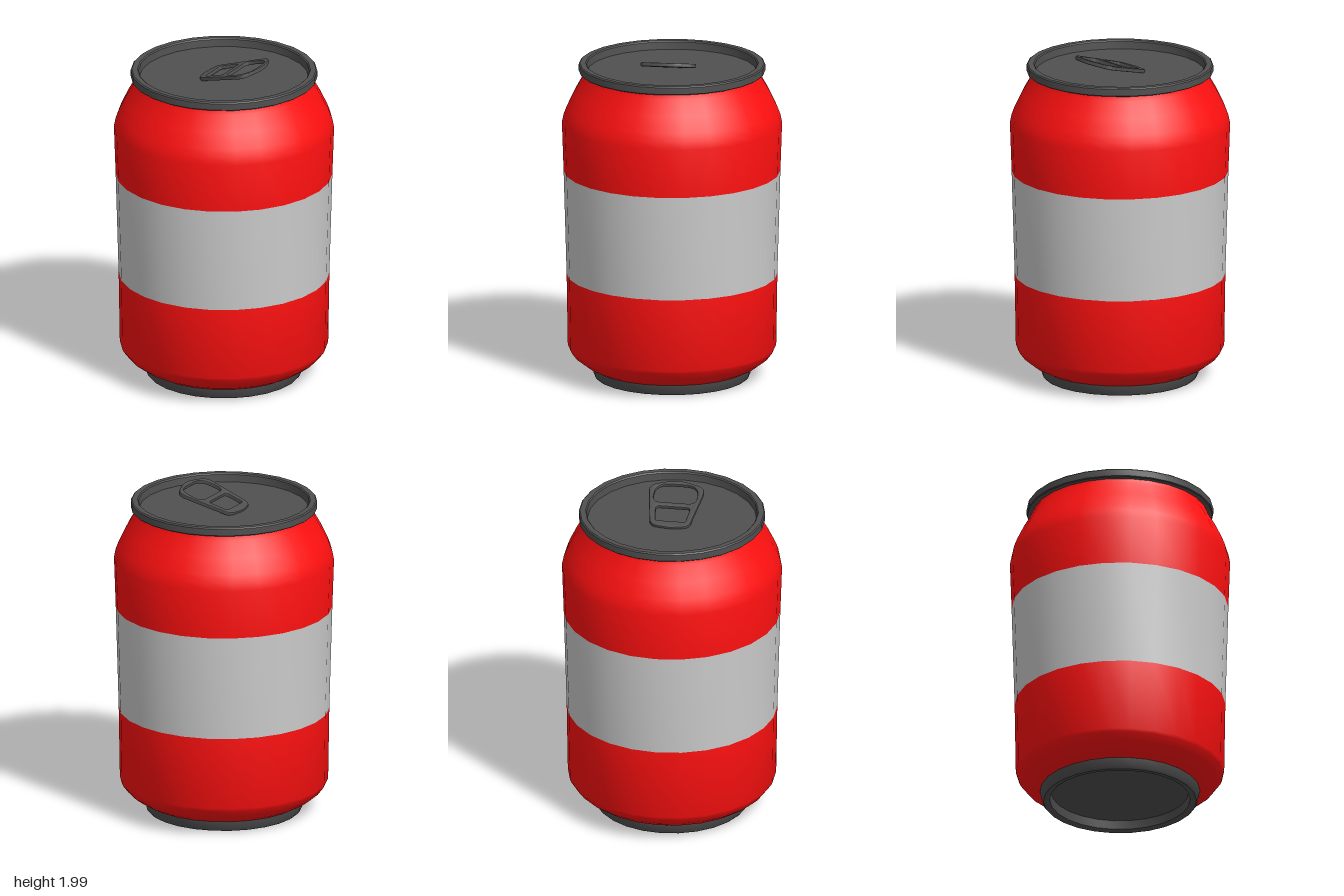
import * as THREE from 'three';
import { toCreasedNormals } from 'three/addons/utils/BufferGeometryUtils.js';

const SIDES = 26;
const red = new THREE.MeshStandardMaterial({ color: 0xff1010 });
const grey = new THREE.MeshStandardMaterial({ color: 0xcccccc });
const dark = new THREE.MeshStandardMaterial({ color: 0x505050 });

// Turned part from [radius, height] pairs, listed bottom to top along the outside
function turned(name, profile, material) {
  const points = profile.map(([r, y]) => new THREE.Vector2(r, y));
  const geometry = new THREE.LatheGeometry(points, SIDES, Math.PI / 2);
  const mesh = new THREE.Mesh(toCreasedNormals(geometry, 0.6), material);
  mesh.name = name;
  return mesh;
}

// Closed outline with rounded corners; each corner is [x, y, rounding]
function rounded(path, corners) {
  const n = corners.length;
  corners.forEach(([x, y, r], i) => {
    const c = new THREE.Vector2(x, y);
    const toward = (k) => {
      const [px, py] = corners[(k + n) % n];
      return new THREE.Vector2(px, py).sub(c).setLength(r).add(c);
    };
    const a = toward(i - 1), b = toward(i + 1);
    if (i === 0) path.moveTo(a.x, a.y);
    else path.lineTo(a.x, a.y);
    path.quadraticCurveTo(x, y, b.x, b.y);
  });
  path.closePath();
  return path;
}

function pullTab() {
  const shape = rounded(new THREE.Shape(), [
    [-0.135, 0, 0.03], [-0.115, -0.118, 0.045], [0.228, -0.173, 0.055],
    [0.288, 0, 0.08], [0.228, 0.173, 0.055], [-0.115, 0.118, 0.045],
  ]);
  // Small rivet window and large finger hole
  shape.holes.push(
    rounded(new THREE.Path(), [
      [-0.075, -0.09, 0.015], [-0.075, 0.09, 0.015], [0.048, 0.104, 0.025], [0.048, -0.104, 0.025],
    ]),
    rounded(new THREE.Path(), [
      [0.085, -0.13, 0.05], [0.085, 0.13, 0.05], [0.243, 0.13, 0.085], [0.243, -0.13, 0.085],
    ]),
  );
  const geometry = new THREE.ExtrudeGeometry(shape, {
    depth: 0.012, bevelEnabled: true, bevelThickness: 0.006, bevelSize: 0.008,
    bevelOffset: -0.008, bevelSegments: 2, curveSegments: 6,
  });
  geometry.translate(0, 0, -0.006).rotateX(-Math.PI / 2);
  const tab = new THREE.Mesh(toCreasedNormals(geometry, 0.6), dark);
  tab.name = 'pullTab';
  tab.rotation.z = 0.272;
  tab.position.y = 1.909;
  return tab;
}

export function createModel() {
  const can = new THREE.Group();
  can.name = 'drinkCan';
  can.add(
    // Recessed bottom disc and foot ring
    turned('base', [
      [0, 0.06], [0.41, 0.06], [0.418, 0.008], [0.43, 0], [0.455, 0], [0.465, 0.012], [0.477, 0.065],
    ], dark),
    turned('lowerBody', [
      [0.475, 0.063], [0.53, 0.092], [0.58, 0.13], [0.612, 0.172], [0.62, 0.19], [0.627, 0.63],
    ], red),
    turned('band', [[0.627, 0.63], [0.645, 1.265]], grey),
    turned('upperBody', [
      [0.645, 1.265], [0.655, 1.56], [0.645, 1.61], [0.628, 1.655], [0.585, 1.745],
      [0.545, 1.815], [0.535, 1.84], [0.522, 1.865], [0.52, 1.88],
    ], red),
    // Rolled rim and sunken lid
    turned('lid', [
      [0.515, 1.873], [0.55, 1.873], [0.555, 1.878], [0.555, 1.918], [0.548, 1.925],
      [0.515, 1.925], [0.508, 1.918], [0.504, 1.873], [0, 1.873],
    ], dark),
    pullTab(),
  );
  return can;
}
